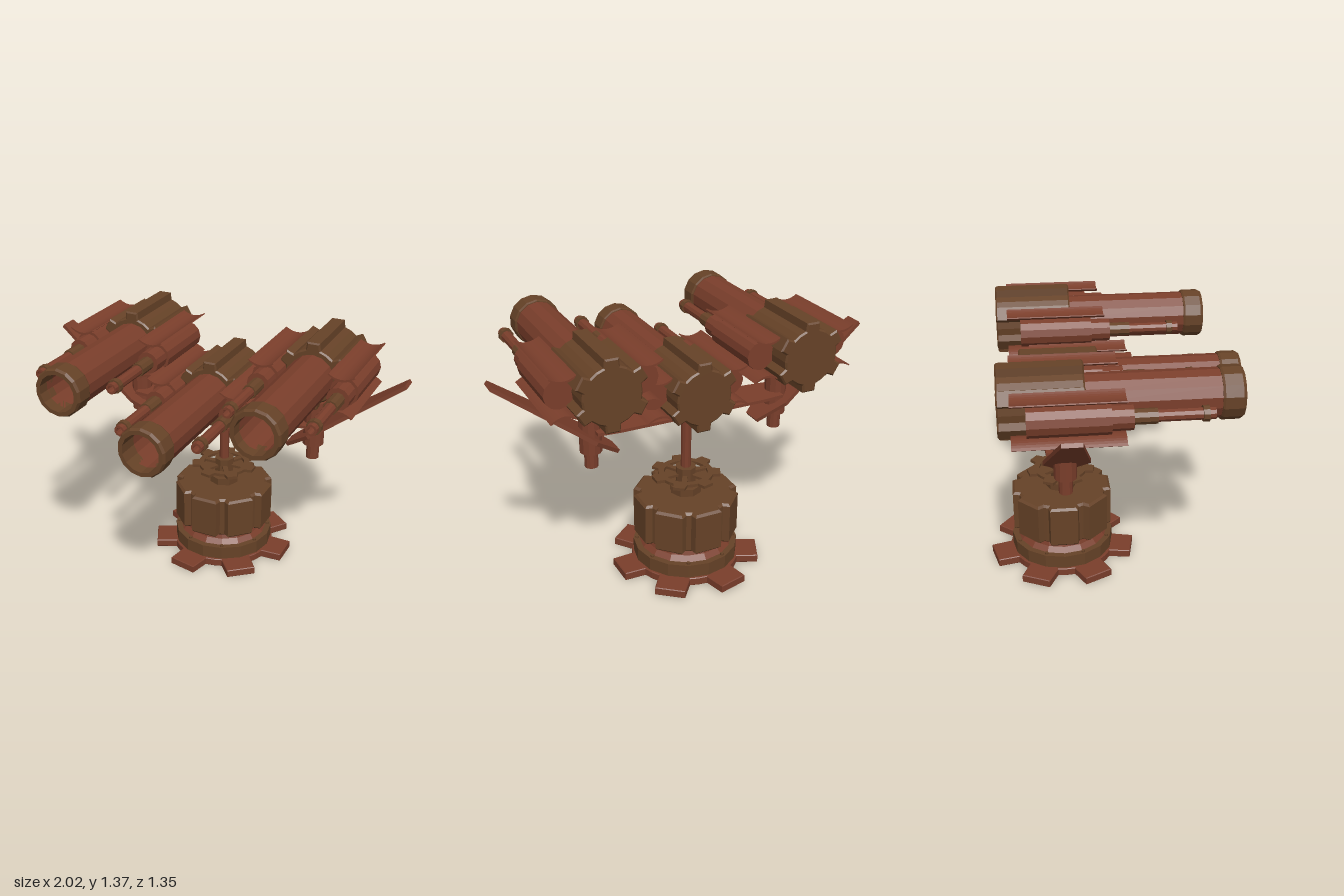
import * as THREE from 'three';

const RED = new THREE.MeshStandardMaterial({ color: 0x7a3e2b, flatShading: true });
const BROWN = new THREE.MeshStandardMaterial({ color: 0x664227, flatShading: true });
const AXIS_Z = -0.28; // pedestal axis

function add(parent, name, geo, mat, x = 0, y = 0, z = 0) {
  const m = new THREE.Mesh(geo, mat);
  m.name = name;
  m.position.set(x, y, z);
  parent.add(m);
  return m;
}

const lathe = (pts, sides = 12) =>
  new THREE.LatheGeometry(pts.map(([r, y]) => new THREE.Vector2(r, y)), sides);

// Lathe lying along z, profile given as [radius, z]
const latheZ = (pts, sides) => lathe(pts, sides).rotateX(Math.PI / 2);

// Toothed outline; root and tip are half widths in radians
function gearShape(n, rIn, rOut, root, tip, phase = Math.PI / 2) {
  const pts = [];
  const put = (r, a) => pts.push(new THREE.Vector2(r * Math.cos(a), r * Math.sin(a)));
  for (let i = 0; i < n; i++) {
    const a = phase + (i * 2 * Math.PI) / n;
    put(rIn, a - root);
    put(rOut, a - tip);
    put(rOut, a + tip);
    put(rIn, a + root);
    put(rIn, a + Math.PI / n);
  }
  return new THREE.Shape(pts);
}

// Extrusion from z = 0 to z = depth with the bevel kept inside the outline
function extrude(shape, depth, bevel = 0) {
  const g = new THREE.ExtrudeGeometry(shape, {
    depth: depth - 2 * bevel, bevelEnabled: bevel > 0, bevelSegments: 1,
    bevelThickness: bevel, bevelSize: bevel, bevelOffset: -bevel, curveSegments: 12,
  });
  return g.translate(0, 0, bevel);
}
const extrudeUp = (shape, depth, bevel) => extrude(shape, depth, bevel).rotateX(-Math.PI / 2);

// Horizontal plate from [length, half width] stations, mirrored across its length
function plate(stations, thickness) {
  const pts = stations.map(([u, v]) => new THREE.Vector2(u, v));
  const back = stations.map(([u, v]) => new THREE.Vector2(u, -v)).reverse();
  return extrudeUp(new THREE.Shape([...back, ...pts]), thickness).translate(0, -thickness / 2, 0);
}

// Thin curved guard that bows toward the pod
function guard() {
  const s = new THREE.Shape();
  s.moveTo(-0.07, 0.108);
  s.quadraticCurveTo(0, 0.05, 0.07, 0.108);
  s.lineTo(0.065, 0.112);
  s.quadraticCurveTo(0, 0.07, -0.065, 0.112);
  return extrude(s, 0.52).translate(0, 0, -0.53);
}

function sidePod(x) {
  const pod = new THREE.Group();
  pod.name = 'sidePod';
  pod.position.x = x;
  add(pod, 'podBody', latheZ([[0, -0.46], [0.075, -0.46], [0.075, -0.08], [0.06, -0.08], [0.06, 0.02], [0, 0.02]]), RED);
  add(pod, 'podCollar', latheZ([[0, 0], [0.037, 0], [0.037, 0.13], [0, 0.13]], 10), BROWN);
  add(pod, 'podBarrel', latheZ([[0.029, 0.12], [0.029, 0.395], [0.018, 0.395], [0.018, 0.2], [0, 0.2]], 10), RED);
  add(pod, 'podBarrelRing', latheZ([[0.027, 0.335], [0.038, 0.335], [0.038, 0.365], [0.027, 0.365]], 10), BROWN);
  add(pod, 'upperGuard', guard(), RED);
  add(pod, 'lowerGuard', guard().rotateZ(Math.PI), RED);
  return pod;
}

function cannon(x, y, z) {
  const c = new THREE.Group();
  c.name = 'cannon';
  c.position.set(x, y, z);
  // Barrel with an open bore
  add(c, 'barrel', latheZ([[0.12, -0.25], [0.12, 0.5], [0.1, 0.5], [0.1, -0.15], [0, -0.15]], 14), RED);
  add(c, 'muzzle', latheZ([[0.1, 0.45], [0.124, 0.45], [0.13, 0.46], [0.13, 0.545], [0.122, 0.56], [0.1, 0.56], [0.1, 0.45]], 14), BROWN);
  add(c, 'breech', extrude(gearShape(6, 0.148, 0.186, 0.27, 0.19), 0.405, 0.008), BROWN, 0, 0, -0.59);
  for (const s of [-1, 1]) c.add(sidePod(s * 0.21));
  return c;
}

function pedestal() {
  const p = new THREE.Group();
  p.name = 'pedestal';
  p.position.z = AXIS_Z;
  const toothPhase = Math.PI / 2 + 0.24;
  add(p, 'baseGear', extrudeUp(gearShape(7, 0.29, 0.4, 0.29, 0.2, toothPhase), 0.045, 0.004), RED);
  add(p, 'baseRing', lathe([[0.28, 0.04], [0.28, 0.118], [0.2, 0.118]], 16), BROWN);
  for (let i = 0; i < 8; i++) {
    const a = (i + 0.5) * Math.PI / 4;
    add(p, 'baseBolt', new THREE.CylinderGeometry(0.01, 0.01, 0.02, 6), BROWN,
      0.26 * Math.cos(a), 0.118, 0.26 * Math.sin(a));
  }
  add(p, 'waist', lathe([[0.25, 0.115], [0.225, 0.145], [0.21, 0.19]], 16), RED);
  add(p, 'drum', extrudeUp(gearShape(8, 0.245, 0.278, 0.34, 0.27), 0.235, 0.012), BROWN, 0, 0.18);
  add(p, 'drumCap', lathe([[0.085, 0.4], [0.085, 0.455], [0.055, 0.455], [0.055, 0.56], [0, 0.56]], 8), BROWN);

  // Handwheel with lobed rim and spokes
  const rim = gearShape(7, 0.145, 0.184, 0.25, 0.16, toothPhase);
  const hole = new THREE.Path();
  hole.absarc(0, 0, 0.115, 0, Math.PI * 2, true);
  rim.holes.push(hole);
  add(p, 'handwheelRim', extrudeUp(rim, 0.016), BROWN, 0, 0.51);
  for (let i = 0; i < 3; i++) {
    add(p, 'handwheelSpoke', new THREE.BoxGeometry(0.25, 0.014, 0.028), BROWN, 0, 0.518)
      .rotation.y = (i * Math.PI) / 3;
  }
  add(p, 'pole', new THREE.CylinderGeometry(0.027, 0.027, 0.36, 10), RED, 0, 0.73);
  return p;
}

export function createModel() {
  const model = new THREE.Group();
  model.name = 'cannonTurret';
  model.add(pedestal());

  add(model, 'crossPlate', plate([[-0.52, 0.09], [-0.4, 0.1], [0.4, 0.1], [0.52, 0.09]], 0.016),
    RED, 0, 0.895, AXIS_Z);
  model.add(cannon(0, 1.03, 0.11));

  for (const s of [-1, 1]) {
    const arm = new THREE.Group();
    arm.name = s > 0 ? 'leftArm' : 'rightArm';
    arm.add(cannon(s * 0.525, 1.19, 0));
    // Stepped swivel post under the outer cannon
    add(arm, 'swivelPost', lathe([[0, 0.685], [0.035, 0.685], [0.035, 0.77], [0.057, 0.77],
      [0.057, 1.02], [0.035, 1.02], [0.035, 1.08]], 12), RED, s * 0.525, 0, AXIS_Z);
    // Slanted blade passing through the post
    const blade = plate([[0, 0.05], [0.17, 0.117], [0.76, 0.047]], 0.02);
    const wing = add(arm, 'wingBlade', blade, RED, s * 0.394, 0.755, AXIS_Z + 0.008);
    wing.rotation.z = s > 0 ? 0.638 : Math.PI - 0.638;
    model.add(arm);
  }
  return model;
}
